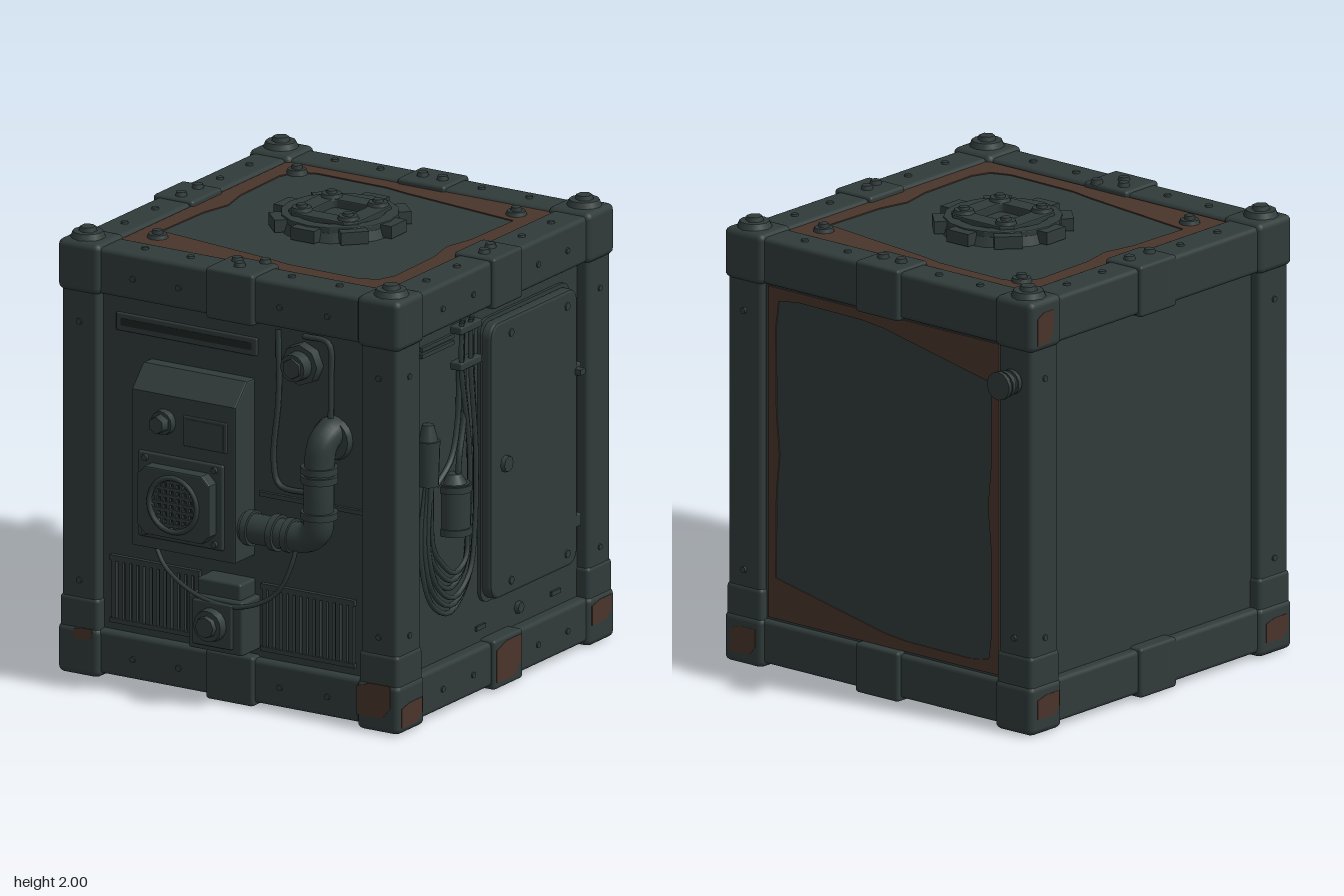
import * as THREE from 'three';
import { RoundedBoxGeometry } from 'three/addons/geometries/RoundedBoxGeometry.js';

const V = (x, y, z) => new THREE.Vector3(x, y, z);

export function createModel() {
  const root = new THREE.Group();
  const mat = (name, color) => Object.assign(new THREE.MeshStandardMaterial({ color }), { name });
  const body = mat('painted steel', 0x303b3a);
  const rust = mat('rust', 0x49342b);
  const dark = mat('dark recess', 0x1c2322);

  const add = (name, geo, m = body) => {
    const mesh = new THREE.Mesh(geo, m);
    mesh.name = name;
    root.add(mesh);
    return mesh;
  };
  // box given by its limits, optionally with rounded edges
  const box = (name, x0, x1, y0, y1, z0, z1, r = 0, m = body) => {
    const s = [x1 - x0, y1 - y0, z1 - z0];
    const g = r ? new RoundedBoxGeometry(...s, 2, r) : new THREE.BoxGeometry(...s);
    g.translate((x0 + x1) / 2, (y0 + y1) / 2, (z0 + z1) / 2);
    return add(name, g, m);
  };
  // cylinder along an axis; r1 is the radius at its positive end
  const cyl = (name, axis, x, y, z, r1, r0, h, n = 20, m = body) => {
    const g = new THREE.CylinderGeometry(r1, r0, h, n);
    if (axis === 'x') g.rotateZ(-Math.PI / 2);
    if (axis === 'z') g.rotateX(Math.PI / 2);
    return add(name, g.translate(x, y, z), m);
  };
  const tube = (name, pts, r, n = 40, sides = 8) =>
    add(name, new THREE.TubeGeometry(new THREE.CatmullRomCurve3(pts.map(p => V(...p))), n, r, sides));
  const poly = pts => new THREE.Shape(pts.map(p => new THREE.Vector2(...p)));
  const extrude = (shape, depth, bevel = 0) => new THREE.ExtrudeGeometry(shape, {
    depth, bevelEnabled: bevel > 0, bevelSize: bevel, bevelThickness: bevel, bevelSegments: 2, curveSegments: 8,
  });
  const roundRect = (w, h, r) => {
    const s = new THREE.Shape(), a = w / 2 - r, b = h / 2 - r;
    s.absarc(a, b, r, 0, Math.PI / 2);
    s.absarc(-a, b, r, Math.PI / 2, Math.PI);
    s.absarc(-a, -b, r, Math.PI, Math.PI * 1.5);
    s.absarc(a, -b, r, Math.PI * 1.5, Math.PI * 2);
    return s;
  };
  // worn rectangular border with bulges at the middle of each side
  const wornBorder = (w, h, t) => {
    const s = poly([[-w, -h], [w, -h], [w, h], [-w, h]]), a = w - t, b = h - t;
    const q = [[a, b * 0.8], [a - t * 0.1, b * 0.25], [a - t * 0.5, 0], [a - t * 0.1, -b * 0.25],
      [a, -b * 0.8], [a - t * 0.4, -b + t * 0.4], [a * 0.8, -b], [a * 0.2, -b + t * 0.1], [0, -b + t * 0.4]];
    s.holes.push(new THREE.Path([...q, ...q.map(p => [-p[0], -p[1]])].map(p => new THREE.Vector2(...p))));
    return extrude(s, 0.006);
  };

  // core with its side, top and bottom panels
  box('core', -0.81, 0.78, 0.04, 1.893, -0.855, 0.745);

  // corner posts, caps and cap bolts
  const xs = [[-0.872, -0.66], [0.635, 0.85]], zs = [[-0.9, -0.695], [0.59, 0.805]];
  for (const [x0, x1] of xs) for (const [z0, z1] of zs) {
    const cx = (x0 + x1) / 2, cz = (z0 + z1) / 2, sx = Math.sign(cx), sz = Math.sign(cz);
    box('cornerPost', x0 + 0.014, x1 - 0.014, 0.15, 1.75, z0 + 0.014, z1 - 0.014, 0.02);
    box('postFoot', x0 + 0.008, x1 - 0.008, 0.15, 0.35, z0 + 0.008, z1 - 0.008, 0.02);
    box('upperCap', x0, x1, 1.7, 1.925, z0, z1, 0.028);
    box('lowerCap', x0, x1, 0, 0.22, z0, z1, 0.028);
    cyl('capWasher', 'y', cx + sx * 0.01, 1.935, cz + sz * 0.01, 0.065, 0.078, 0.03, 12);
    cyl('capBolt', 'y', cx + sx * 0.01, 1.955, cz + sz * 0.01, 0.035, 0.042, 0.03, 6);
    for (const y of [0.42, 1.57]) {
      cyl('postRivet', 'z', cx, y, cz + sz * 0.094, 0.014, 0.014, 0.012, 8);
      cyl('postRivet', 'x', cx + sx * 0.094, y, cz, 0.014, 0.014, 0.012, 8);
    }
  }

  // upper and lower edge beams with a clamp in the middle of each
  for (const [y0, y1, top] of [[1.705, 1.91, true], [0.02, 0.215, false]]) {
    box('frontBeam', -0.75, 0.73, y0, y1, 0.61, 0.785, 0.02);
    box('backBeam', -0.75, 0.73, y0, y1, -0.88, -0.71, 0.02);
    box('leftBeam', 0.66, 0.832, y0, y1, -0.8, 0.7, 0.02);
    box('rightBeam', -0.855, -0.685, y0, y1, -0.8, 0.7, 0.02);
    const a = top ? 1.695 : 0.005, b = top ? 1.922 : 0.225;
    box('frontClamp', -0.125, 0.115, a, b, 0.59, 0.803, 0.014);
    box('backClamp', -0.125, 0.115, a, b, -0.9, -0.7, 0.014);
    box('leftClamp', 0.645, 0.85, a, b, -0.175, 0.05, 0.014);
    box('rightClamp', -0.872, -0.67, a, b, -0.185, 0.05, 0.014);
  }
  for (const [x, z] of [[-0.06, 0.65], [0.055, 0.61], [-0.01, 0.71], [-0.05, -0.79], [0.05, -0.79],
    [-0.76, -0.13], [-0.76, 0], [0.74, -0.09], [0.76, -0.01]])
    cyl('clampBolt', 'y', x, 1.928, z, 0.022, 0.028, 0.024, 8);
  for (const t of [-0.5, -0.27, 0.24, 0.48]) {
    for (const z of [-0.8, 0.69]) cyl('beamRivet', 'y', t, 1.912, z, 0.015, 0.018, 0.014, 8);
    for (const x of [-0.77, 0.75]) cyl('beamRivet', 'y', x, 1.912, t - 0.05, 0.015, 0.018, 0.014, 8);
    for (const y of [0.11, 1.8]) {
      cyl('beamRivet', 'z', t, y, 0.787, 0.014, 0.014, 0.01, 8);
      cyl('beamRivet', 'x', 0.834, y, t - 0.05, 0.014, 0.014, 0.01, 8);
    }
  }

  // roof: worn border, bolts and central hatch
  add('roofRust', wornBorder(0.67, 0.66, 0.08).rotateX(-Math.PI / 2).translate(-0.012, 1.892, -0.06), rust);
  for (const [x, z] of [[-0.565, -0.605], [0.54, -0.605], [-0.565, 0.49]]) {
    cyl('roofWasher', 'y', x, 1.903, z, 0.04, 0.048, 0.025, 12);
    cyl('roofBolt', 'y', x, 1.92, z, 0.022, 0.026, 0.025, 6);
  }
  const hx = -0.015, hz = -0.085;
  cyl('hatchBase', 'y', hx, 1.912, hz, 0.255, 0.27, 0.045, 16);
  const ring = new THREE.Shape().absarc(0, 0, 0.25, 0, Math.PI * 2);
  ring.holes.push(new THREE.Path().absarc(0, 0, 0.2, 0, Math.PI * 2));
  add('hatchRing', extrude(ring, 0.02, 0.004).rotateX(-Math.PI / 2).translate(hx, 1.935, hz));
  for (let i = 0; i < 8; i++) {
    const a = i * Math.PI / 4;
    const lug = add('hatchLug', new THREE.BoxGeometry(0.07, 0.055, 0.12));
    lug.position.set(hx + Math.cos(a) * 0.262, 1.925, hz + Math.sin(a) * 0.262);
    lug.rotation.y = -a;
  }
  const frame = poly([[-0.17, -0.13], [-0.13, -0.17], [0.13, -0.17], [0.17, -0.13], [0.17, 0.13], [0.13, 0.17], [-0.13, 0.17], [-0.17, 0.13]]);
  frame.holes.push(roundRect(0.19, 0.19, 0.03));
  add('hatchFrame', extrude(frame, 0.035, 0.005).rotateX(-Math.PI / 2).translate(hx, 1.932, hz));
  for (const x of [-0.117, 0.117]) for (const z of [-0.117, 0.117]) {
    cyl('hatchWasher', 'y', hx + x, 1.975, hz + z, 0.042, 0.05, 0.025, 12);
    cyl('hatchBolt', 'y', hx + x, 1.99, hz + z, 0.022, 0.026, 0.02, 6);
  }

  // control unit with a sloping top
  const unit = poly([[-0.7, 0.67], [-0.885, 0.67], [-0.885, 1.35], [-0.8, 1.44], [-0.7, 1.44]].map(([z, y]) => [z, y]));
  add('controlUnit', extrude(unit, 0.51, 0.008).rotateY(Math.PI / 2).translate(-0.43, 0, 0));
  box('grilleFrame', -0.4, 0.03, 0.71, 1.09, 0.88, 0.905, 0.01);
  const plate = poly([[-0.175, -0.11], [-0.14, -0.145], [0.14, -0.145], [0.175, -0.11], [0.175, 0.11], [0.14, 0.145], [-0.14, 0.145], [-0.175, 0.11]]);
  plate.holes.push(new THREE.Path().absarc(0, 0, 0.12, 0, Math.PI * 2));
  add('grillePlate', extrude(plate, 0.05, 0.006).translate(-0.185, 0.895, 0.905));
  cyl('grilleBack', 'z', -0.185, 0.895, 0.906, 0.122, 0.122, 0.02, 24, dark);
  add('grilleRim', new THREE.TorusGeometry(0.12, 0.012, 8, 28)).position.set(-0.185, 0.895, 0.962);
  for (let i = -3; i <= 3; i++) {
    const d = i * 0.032, l = Math.sqrt(0.0144 - d * d);
    box('grilleBar', -0.192 + d, -0.178 + d, 0.895 - l, 0.895 + l, 0.935, 0.95);
    box('grilleBar', -0.185 - l, -0.185 + l, 0.888 + d, 0.902 + d, 0.938, 0.953);
  }
  for (const x of [-0.36, -0.01]) for (const y of [0.735, 1.065]) cyl('grilleBolt', 'z', x, y, 0.908, 0.014, 0.016, 0.02, 8);
  cyl('dialBase', 'z', -0.27, 1.235, 0.905, 0.052, 0.056, 0.04, 16);
  cyl('dial', 'z', -0.27, 1.235, 0.94, 0.038, 0.044, 0.05, 6);
  box('displayFrame', -0.175, 0.045, 1.145, 1.28, 0.885, 0.9, 0.005);
  box('display', -0.16, 0.03, 1.158, 1.267, 0.898, 0.903);

  // exhaust pipe with collars
  tube('pipe', [[0.08, 0.81, 0.82], [0.25, 0.81, 0.82], [0.4, 0.815, 0.82], [0.455, 0.86, 0.825], [0.465, 0.95, 0.83],
    [0.468, 1.15, 0.83], [0.475, 1.24, 0.815], [0.485, 1.28, 0.77], [0.485, 1.29, 0.7]], 0.066, 60, 16);
  for (const [x, r] of [[0.12, 0.078], [0.25, 0.08], [0.32, 0.075]]) cyl('pipeCollar', 'x', x, 0.81, 0.82, r, r, 0.03);
  for (const y of [0.93, 1.09, 1.13]) cyl('pipeCollar', 'y', 0.467, y, 0.828, 0.08, 0.08, 0.03);
  cyl('pipeFlange', 'z', 0.485, 1.25, 0.755, 0.09, 0.1, 0.04);

  // hanging cable, wall conduit and inlet valve on the front
  tube('hangingCable', [[-0.39, 0.68, 0.8], [-0.3, 0.57, 0.84], [-0.1, 0.485, 0.885], [0.1, 0.47, 0.885], [0.27, 0.55, 0.87], [0.35, 0.7, 0.86], [0.37, 0.86, 0.83]], 0.01);
  tube('wallConduit', [[0.21, 1.69, 0.75], [0.215, 1.4, 0.755], [0.19, 1.1, 0.755], [0.22, 1.0, 0.755], [0.4, 0.99, 0.755]], 0.013);
  tube('wallConduit', [[0.34, 1.68, 0.75], [0.47, 1.67, 0.76], [0.485, 1.5, 0.765], [0.485, 1.28, 0.77]], 0.013);
  box('wallRail', 0.12, 0.64, 0.935, 0.955, 0.74, 0.76);
  cyl('valveFlange', 'z', 0.34, 1.56, 0.765, 0.09, 0.095, 0.05, 8);
  cyl('valveBody', 'z', 0.34, 1.56, 0.81, 0.06, 0.065, 0.07, 16);
  cyl('valveCap', 'z', 0.34, 1.56, 0.845, 0.045, 0.05, 0.02, 6);
  box('upperSlotFrame', -0.605, 0.105, 1.55, 1.63, 0.74, 0.757, 0.006);
  box('upperSlot', -0.58, 0.08, 1.575, 1.607, 0.755, 0.759, 0, dark);

  // vents with vertical slats
  for (const [x0, x1, n] of [[-0.63, -0.18, 13], [0.13, 0.6, 14]]) {
    box('ventFrame', x0, x1, 0.525, 0.55, 0.74, 0.765);
    box('ventFrame', x0, x1, 0.25, 0.27, 0.74, 0.765);
    for (let i = 0; i < n; i++) {
      const x = x0 + (i + 0.5) * (x1 - x0) / n;
      box('ventSlat', x - 0.011, x + 0.011, 0.27, 0.54, 0.74, 0.762);
      if (i < n - 1) box('ventGap', x + 0.013, x + 0.019, 0.28, 0.53, 0.742, 0.748, 0, dark);
    }
  }

  // lower junction box and knob
  box('junctionBox', -0.16, 0.115, 0.25, 0.49, 0.72, 0.885, 0.012);
  box('junctionHood', -0.13, 0.09, 0.48, 0.56, 0.72, 0.86, 0.012);
  box('junctionCover', -0.13, 0.07, 0.275, 0.475, 0.88, 0.9, 0.008);
  cyl('junctionRing', 'z', -0.03, 0.375, 0.915, 0.068, 0.075, 0.045, 16);
  cyl('junctionKnob', 'z', -0.03, 0.375, 0.945, 0.045, 0.05, 0.03, 8);

  // service door on the left side
  add('doorSeal', extrude(roundRect(0.7, 1.26, 0.06), 0.03).rotateY(Math.PI / 2).translate(0.765, 1.015, -0.275));
  add('serviceDoor', extrude(roundRect(0.65, 1.2, 0.05), 0.03, 0.014).rotateY(Math.PI / 2).translate(0.8, 1.015, -0.275));
  cyl('doorKnob', 'x', 0.85, 0.99, -0.045, 0.035, 0.04, 0.025, 8);
  for (const z of [-0.09, -0.53]) for (const y of [0.46, 1.56]) cyl('doorRivet', 'x', 0.844, y, z, 0.018, 0.02, 0.012, 8);
  for (const y of [0.58, 1.25]) box('doorHinge', 0.77, 0.835, y - 0.03, y + 0.03, -0.66, -0.61, 0.01);
  box('doorLatch', 0.83, 0.872, 1.24, 1.265, -0.63, -0.59);
  cyl('lowerBolt', 'x', 0.785, 0.29, -0.24, 0.025, 0.03, 0.03, 6);
  for (const [z, w] of [[0.06, 0.07], [-0.53, 0.07]]) box('sideBracket', 0.77, 0.79, 0.27, 0.29, z - w / 2, z + w / 2);

  // cable bundle looping on the left side
  for (let i = 0; i < 6; i++) {
    const z = 0.14 + i * 0.024, k = i * 0.036, x = 0.795 + (i % 3) * 0.012;
    tube('loopCable', [[x, 1.69, z], [x, 1.48, z], [x, 1.1, 0.115 + k * 0.45], [x, 0.75, 0.12 + k * 0.5], [x + 0.01, 0.53 + k * 0.6, 0.19 + k * 0.3],
      [x + 0.01, 0.42 + k, 0.33], [x + 0.01, 0.5 + k, 0.48 - k * 0.2], [x, 0.75, 0.545 - k * 0.35], [x, 1.05, 0.5]], 0.012, 48, 6);
  }
  tube('branchCable', [[0.8, 1.5, 0.25], [0.805, 1.25, 0.27], [0.81, 1.1, 0.33], [0.81, 1.01, 0.45]], 0.013);
  tube('branchCable', [[0.8, 1.5, 0.21], [0.81, 1.25, 0.23], [0.82, 1.1, 0.28], [0.82, 1.0, 0.29]], 0.013);
  for (const y of [1.5, 1.66]) box('cableClamp', 0.77, 0.835, y - 0.018, y + 0.018, 0.12, 0.285, 0.008);
  cyl('plugBody', 'y', 0.805, 1.13, 0.5, 0.052, 0.045, 0.2, 14);
  cyl('plugNeck', 'y', 0.805, 1.25, 0.5, 0.025, 0.05, 0.1, 14);
  cyl('canister', 'y', 0.805, 0.88, 0.295, 0.068, 0.068, 0.22, 18);
  for (const y of [0.78, 0.97]) cyl('canisterBand', 'y', 0.805, y, 0.295, 0.076, 0.076, 0.03, 18);
  cyl('canisterCap', 'y', 0.805, 1.01, 0.295, 0.03, 0.055, 0.04, 12);
  for (const y of [1.605, 1.635]) box('sideSlot', 0.77, 0.795, y - 0.009, y + 0.009, 0.28, 0.53);

  // ribbed plug at the back corner
  for (const [z, r] of [[-0.905, 0.055], [-0.925, 0.045], [-0.945, 0.058], [-0.962, 0.045], [-0.978, 0.062]])
    cyl('backPlug', 'z', -0.76, 1.56, z, r, r, 0.02, 14);

  // worn border on the back panel
  add('backRust', wornBorder(0.645, 0.735, 0.042).rotateY(Math.PI).translate(-0.012, 0.96, -0.854), rust);

  // rust patches on the lower caps and clamp
  const patch = (pts, ry, x, y, z) =>
    add('rustPatch', extrude(poly(pts), 0.004).rotateY(ry).translate(x, y, z), rust);
  const blot = (w, h) => [[-w, -h], [w * 0.5, -h], [w, -h * 0.3], [w, h], [-w * 0.2, h], [-w, h * 0.7]];
  const H = Math.PI / 2;
  patch(blot(0.085, 0.075), 0, 0.725, 0.14, 0.803);
  patch(blot(0.045, 0.025), 0, -0.74, 0.19, 0.803);
  patch(blot(0.095, 0.085), H, 0.848, 0.12, -0.0625);
  patch(blot(0.08, 0.05), H, 0.848, 0.08, 0.7);
  patch(blot(0.075, 0.05), H, 0.848, 0.145, -0.79);
  patch(blot(0.07, 0.06), Math.PI, 0.74, 0.11, -0.898);
  patch(blot(0.07, 0.05), -H, -0.87, 0.12, -0.79);
  patch(blot(0.07, 0.05), -H, -0.87, 0.11, 0.7);
  patch(blot(0.05, 0.07), -H, -0.87, 1.8, -0.81);
  add('rustPatch', extrude(roundRect(0.15, 0.14, 0.03), 0.004).rotateX(H).translate(0.74, 0.002, -0.8), rust);
  return root;
}
